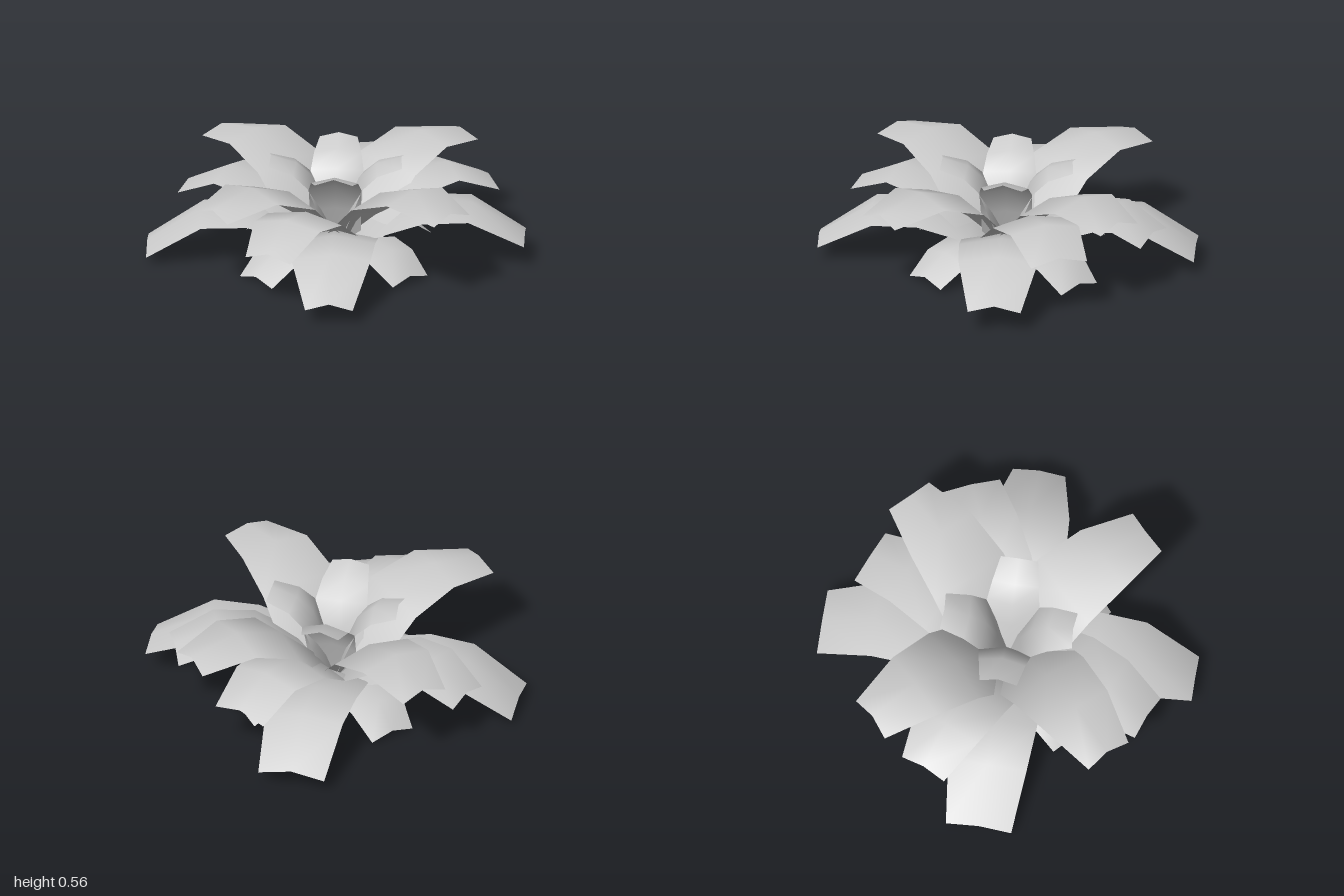
import * as THREE from 'three';

const material = new THREE.MeshStandardMaterial({ color: 0xcccccc, side: THREE.DoubleSide });

// Each row is [distance from centre, height of midrib, half width].
const innerRows = [[0, 0.05, 0.13], [0.06, 0.3, 0.135], [0.12, 0.45, 0.14], [0.21, 0.53, 0.125], [0.345, 0.57, 0.1]];
const upperRows = [[0, 0.04, 0.2], [0.14, 0.26, 0.23], [0.34, 0.46, 0.225], [0.61, 0.555, 0.2], [0.91, 0.5, 0.13]];
const middleRows = [[0, 0.04, 0.2], [0.17, 0.25, 0.22], [0.38, 0.39, 0.215], [0.63, 0.43, 0.19], [0.88, 0.32, 0.13]];
const longRows = [[0, 0.04, 0.23], [0.18, 0.22, 0.23], [0.46, 0.3, 0.225], [0.72, 0.295, 0.21], [1.02, 0.12, 0.14]];
const lowRows = [[0, 0.04, 0.16], [0.14, 0.14, 0.17], [0.27, 0.18, 0.17], [0.44, 0.15, 0.155], [0.6, 0.045, 0.125]];

// A leaf is a strip along +z, folded along its midrib so that the edges hang lower.
function leafGeometry(rows, { crown = 0.04, notch = 0.02, lift = 0, tip = 1 }) {
  const positions = [], index = [];
  const last = rows.length - 1;
  rows.forEach(([r, y, w], i) => {
    const a = rows[Math.max(i - 1, 0)], b = rows[Math.min(i + 1, last)];
    const dr = b[0] - a[0], dy = b[1] - a[1], len = Math.hypot(dr, dy);
    const width = i === last ? w * tip : w;
    const fold = i === 0 ? 0 : crown;
    for (const side of [-1, 0, 1]) {
      const drop = fold * Math.abs(side);
      const inset = i === last && side === 0 ? notch : 0;
      positions.push(side * width, y + lift * r - drop * dr / len, r + drop * dy / len - inset);
    }
    if (i === last) return;
    for (let j = 0; j < 2; j++) {
      const p = i * 3 + j;
      index.push(p, p + 3, p + 1, p + 1, p + 3, p + 4);
    }
  });
  const geometry = new THREE.BufferGeometry();
  geometry.setAttribute('position', new THREE.Float32BufferAttribute(positions, 3));
  geometry.setIndex(index);
  geometry.computeVertexNormals();
  return geometry;
}

// One ring of leaves; every leaf gives its heading in degrees from the front.
function leafRing(name, rows, leaves, shape = {}) {
  const ring = new THREE.Group();
  ring.name = name;
  leaves.forEach(({ angle, ...own }, i) => {
    const leaf = new THREE.Mesh(leafGeometry(rows, { ...shape, ...own }), material);
    leaf.name = `${name}${i + 1}`;
    leaf.rotation.y = THREE.MathUtils.degToRad(angle);
    ring.add(leaf);
  });
  return ring;
}

export function createModel() {
  const model = new THREE.Group();
  model.name = 'leafRosette';
  model.add(
    // upright heart of the plant
    leafRing('innerLeaf', innerRows, [
      { angle: 0 }, { angle: 90 }, { angle: 180 }, { angle: 270 },
    ], { crown: 0.03, notch: 0 }),
    // broad raised leaves on the diagonals
    leafRing('upperLeaf', upperRows, [
      { angle: 45 }, { angle: 135 }, { angle: 225 }, { angle: 315 },
    ]),
    // leaves filling some of the gaps
    leafRing('middleLeaf', middleRows, [
      { angle: 112.5, tip: 1.2, lift: 0.04 }, { angle: 157.5, tip: 1.2 },
      { angle: 247.5, lift: -0.02 }, { angle: 337.5 },
    ]),
    // longest, drooping leaves
    leafRing('longLeaf', longRows, [
      { angle: 0, tip: 0.9 }, { angle: 90, lift: 0.035 },
      { angle: 180, tip: 1.28 }, { angle: 270, tip: 1.25, lift: -0.04 },
    ]),
    // short leaves closest to the ground
    leafRing('lowLeaf', lowRows, [
      { angle: 45, lift: 0.02 }, { angle: 135 }, { angle: 225 }, { angle: 315, lift: -0.01 },
    ]),
  );
  return model;
}
